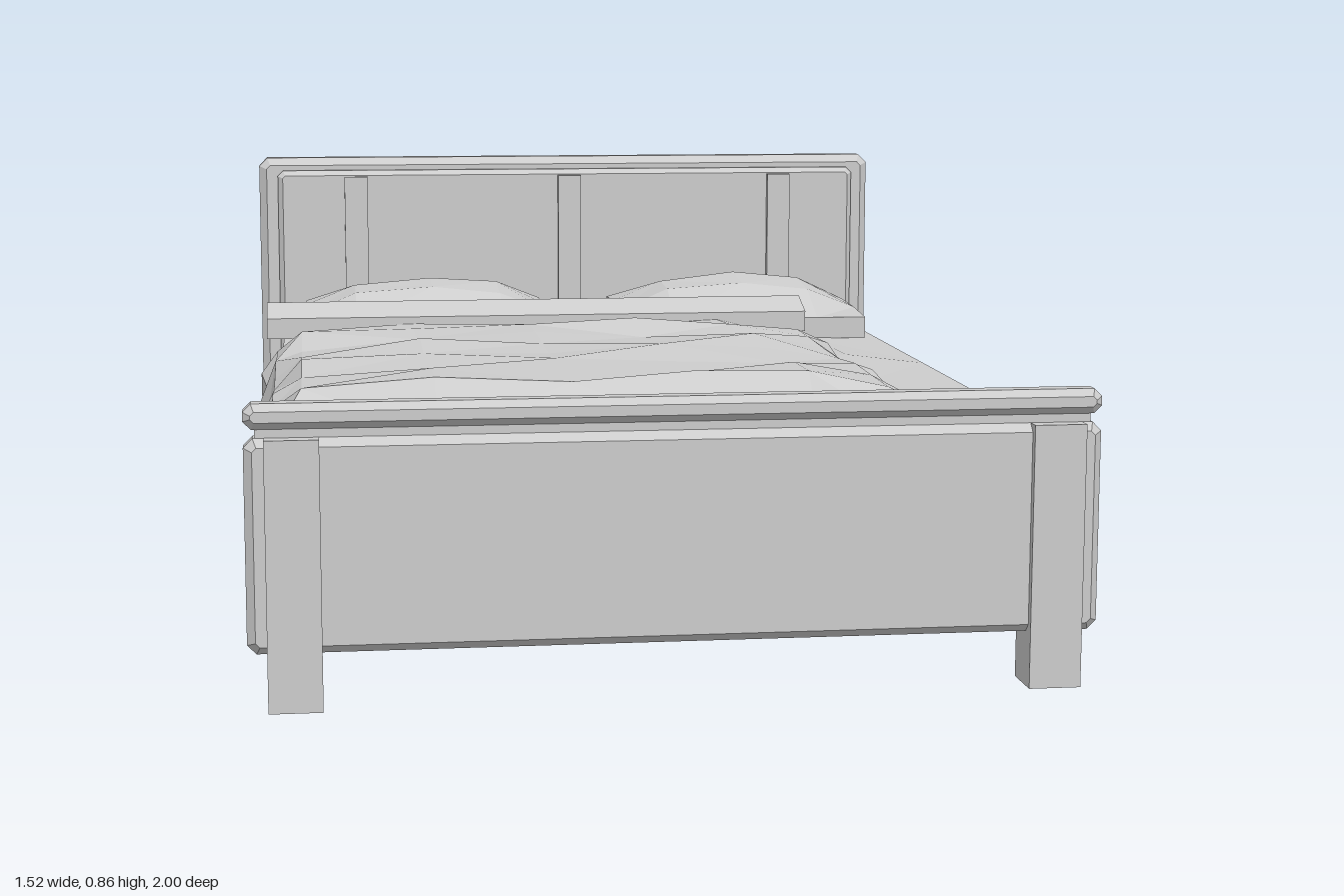
import * as THREE from 'three';

const grey = new THREE.MeshStandardMaterial({ color: 0xcccccc, flatShading: true, side: THREE.DoubleSide });
grey.name = 'light grey';

export function createModel() {
  const bed = new THREE.Group();
  bed.name = 'bed';

  const add = (name, geometry) => {
    const mesh = new THREE.Mesh(geometry, grey);
    mesh.name = name;
    bed.add(mesh);
    return mesh;
  };

  // Plain box given by its limits
  const box = (name, x0, x1, y0, y1, z0, z1) =>
    add(name, new THREE.BoxGeometry(x1 - x0, y1 - y0, z1 - z0))
      .position.set((x0 + x1) / 2, (y0 + y1) / 2, (z0 + z1) / 2);

  // Box with all edges cut by c, centred on x = 0
  const chamferBox = (name, w, y0, y1, z0, z1, c) => {
    const a = w / 2 - c, b = y0 + c, d = y1 - c, k = c * 0.5;
    const shape = new THREE.Shape([
      [-a + k, b], [a - k, b], [a, b + k], [a, d - k], [a - k, d], [-a + k, d], [-a, d - k], [-a, b + k],
    ].map(p => new THREE.Vector2(...p)));
    const geo = new THREE.ExtrudeGeometry(shape, {
      depth: z1 - z0 - 2 * c, bevelEnabled: true, bevelThickness: c, bevelSize: c, bevelSegments: 1,
    });
    geo.translate(0, 0, z0 + c);
    add(name, geo);
  };

  // Faceted sheet over a grid of points
  const sheet = (cols, rows, point) => {
    const pos = [], index = [];
    for (let j = 0; j < rows; j++) for (let i = 0; i < cols; i++) pos.push(...point(i, j));
    for (let j = 0; j < rows - 1; j++) for (let i = 0; i < cols - 1; i++) {
      const a = j * cols + i, b = a + 1, c = a + cols, d = c + 1;
      if ((i + j) % 2) index.push(a, c, b, b, c, d);
      else index.push(a, c, d, a, d, b);
    }
    const geo = new THREE.BufferGeometry();
    geo.setAttribute('position', new THREE.Float32BufferAttribute(pos, 3));
    geo.setIndex(index);
    geo.computeVertexNormals();
    return geo;
  };

  // Headboard with raised panel and battens
  chamferBox('headboard', 1.52, 0, 0.86, -0.99, -0.915, 0.018);
  chamferBox('headboardPanel', 1.43, 0.36, 0.83, -0.925, -0.888, 0.012);
  for (const x of [-0.525, 0, 0.525]) box('headboardBatten', x - 0.028, x + 0.028, 0.36, 0.815, -0.9, -0.872);

  // Footboard with neck and top rail
  chamferBox('footboard', 1.52, 0.1, 0.48, 0.925, 0.985, 0.015);
  box('footboardNeck', -0.74, 0.74, 0.47, 0.505, 0.94, 0.97);
  chamferBox('footboardTopRail', 1.52, 0.495, 0.54, 0.927, 0.983, 0.013);

  // Legs and side rails
  for (const s of [-1, 1]) {
    const [x0, x1] = s > 0 ? [0.63, 0.725] : [-0.725, -0.63];
    box('frontLeg', x0, x1, 0, 0.48, 0.91, 1);
    box('backLeg', x0, x1, 0, 0.15, -1, -0.905);
    const [r0, r1] = s > 0 ? [0.7, 0.74] : [-0.74, -0.7];
    box('sideRail', r0, r1, 0.23, 0.335, -0.915, 0.925);
  }

  // Base and mattress
  box('bedBase', -0.71, 0.71, 0.245, 0.345, -0.915, 0.91);
  box('mattress', -0.705, 0.705, 0.345, 0.44, -0.89, 0.9);

  // Slightly uneven bottom sheet
  const sx = [-0.705, -0.4, 0, 0.3, 0.53, 0.705], sz = [-0.89, -0.72, -0.4, -0.1, 0.2, 0.48, 0.72, 0.9];
  add('bottomSheet', sheet(6, 8, (i, j) => {
    const edge = i === 0 || i === 5 || j === 0 || j === 7;
    return [sx[i], edge ? 0.441 : 0.455 + 0.008 * Math.sin(i * 2.3 + j * 1.7), sz[j]];
  }));

  // Pillows: a flat slab edge with a faceted dome
  const px = [-0.285, -0.17, 0.01, 0.17, 0.285], pz = [-0.86, -0.73, -0.6, -0.48];
  const pillowHeights = [
    [0.515, 0.52, 0.525, 0.52, 0.515],
    [0.52, 0.565, 0.58, 0.57, 0.515],
    [0.51, 0.56, 0.572, 0.555, 0.51],
    [0.5, 0.5, 0.5, 0.5, 0.5],
  ];
  for (const s of [-1, 1]) {
    const cx = s > 0 ? 0.375 : -0.365;
    add('pillowTop', sheet(5, 4, (i, j) =>
      [cx + px[i], pillowHeights[j][i] + (s > 0 && i === 2 && j === 1 ? 0.006 : 0), pz[j]]));
    box('pillowEdge', cx - 0.285, cx + 0.285, 0.45, 0.5, -0.86, -0.48);
    // Side walls closing the slab up to the dome
    const rim = [];
    for (let i = 0; i < 5; i++) rim.push([i, 0]);
    for (let j = 1; j < 4; j++) rim.push([4, j]);
    for (let i = 3; i >= 0; i--) rim.push([i, 3]);
    for (let j = 2; j >= 0; j--) rim.push([0, j]);
    add('pillowSide', sheet(rim.length, 2, (k, r) => {
      const [i, j] = rim[k];
      return [cx + px[i], r ? 0.49 : pillowHeights[j][i], pz[j]];
    }));
  }

  // Duvet: domed top, sloping foot, and a drape over the left-hand edge of the sheet
  const dx = [-0.75, -0.745, -0.715, -0.66, -0.42, -0.17, 0.06, 0.27, 0.42, 0.49];
  const dz = [-0.28, -0.1, 0.02, 0.19, 0.33, 0.48, 0.62, 0.76, 0.86];
  const ridge = [0.515, 0.542, 0.53, 0.54, 0.54, 0.535, 0.54, 0.548, 0.455];
  add('duvet', sheet(10, 9, (i, j) => {
    const wave = Math.sin(i * 2.1 + j * 1.9);
    const foot = j === 8;
    let x = dx[i], z = dz[j] + (foot ? 0.012 * wave : 0), y = ridge[j] + (foot ? 0 : 0.01 * wave);
    if (i === 0) { y = 0.26 + 0.015 * wave; x += 0.006 * wave; }
    if (i === 1) { y = 0.4 + 0.02 * wave; x += j % 2 ? 0.018 : -0.006; }
    if (i === 2) y = Math.min(y, 0.475 + 0.01 * wave);
    if (i === 3) y -= foot ? 0 : 0.02;
    if (i === 8) y -= foot ? 0 : 0.02;
    if (i === 9) y = foot ? 0.445 : 0.475 + 0.015 * wave;
    return [x, y, z];
  }));
  // Skirt joining the open edge of the duvet to the mattress
  add('duvetEdge', sheet(9, 2, (j, r) =>
    [0.49 - r * 0.02, r ? 0.442 : j === 8 ? 0.445 : 0.475 + 0.015 * Math.sin(18.9 + j * 1.9),
      dz[j] + (j === 8 ? 0.012 * Math.sin(18.9 + 15.2) : 0)]));

  // Turned-back fold across the top of the duvet
  const fold = new THREE.Shape([
    [0.42, 0.53], [0.345, 0.568], [0.27, 0.54], [0.27, 0.495], [0.345, 0.528], [0.42, 0.492],
  ].map(p => new THREE.Vector2(...p)));
  const foldGeo = new THREE.ExtrudeGeometry(fold, { depth: 1.21, bevelEnabled: false });
  foldGeo.rotateY(Math.PI / 2);
  foldGeo.translate(-0.737, 0, 0);
  add('duvetFold', foldGeo);

  return bed;
}
